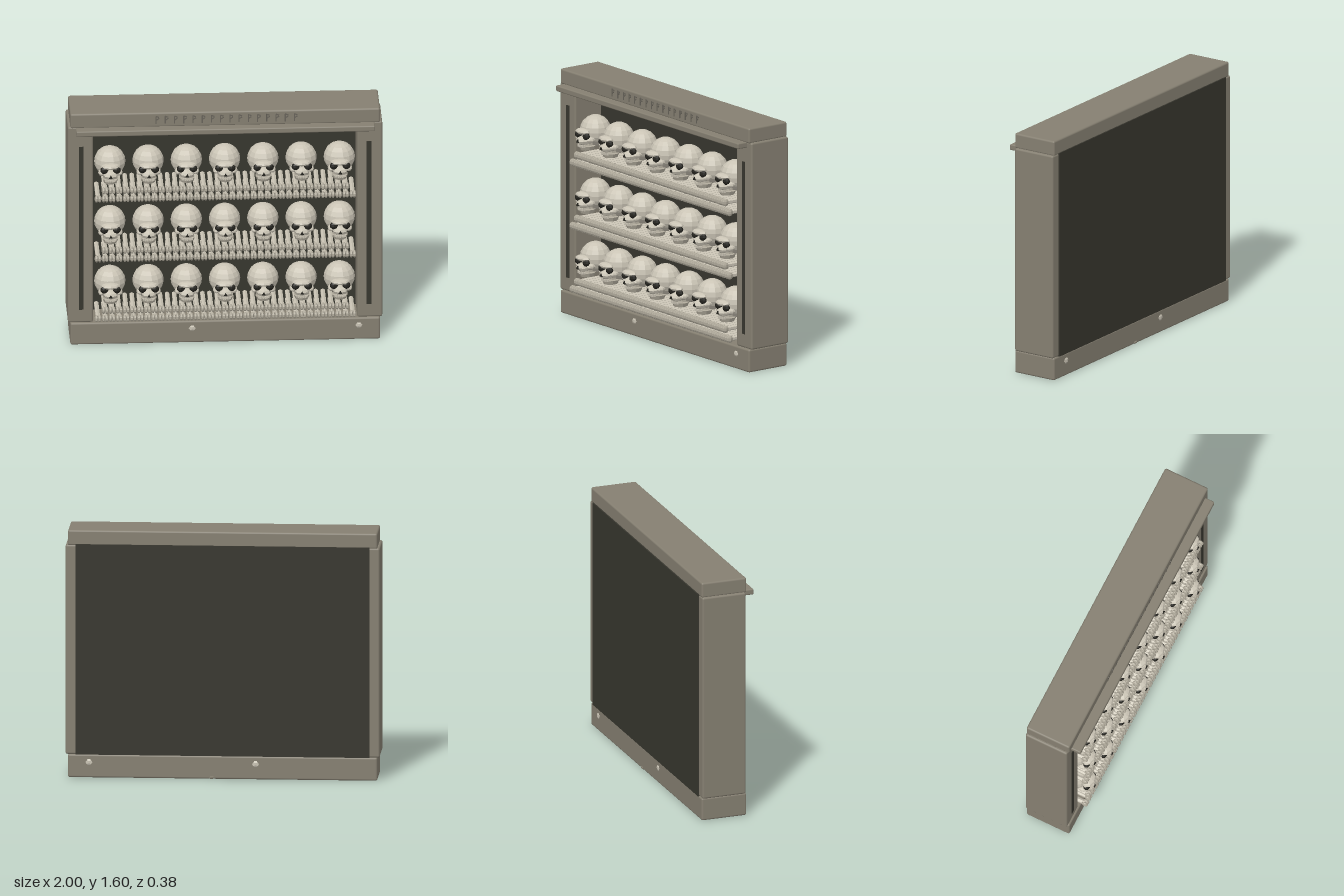
import * as THREE from 'three';
import { mergeGeometries } from 'three/addons/utils/BufferGeometryUtils.js';
import { RoundedBoxGeometry } from 'three/addons/geometries/RoundedBoxGeometry.js';

const material = (name, color) => {
  const m = new THREE.MeshStandardMaterial({ color });
  m.name = name;
  return m;
};

// Faceted copy of a geometry, scaled and moved into place
function faceted(geo, pos = [0, 0, 0], scale = [1, 1, 1]) {
  const g = geo.index ? geo.toNonIndexed() : geo.clone();
  g.scale(...scale);
  g.translate(...pos);
  g.deleteAttribute('uv');
  g.computeVertexNormals();
  return g;
}

function add(parent, name, geo, mat, x = 0, y = 0, z = 0) {
  const mesh = new THREE.Mesh(geo, mat);
  mesh.name = name;
  mesh.position.set(x, y, z);
  parent.add(mesh);
  return mesh;
}

// Rounded block given by its extents
function block(parent, name, mat, x0, x1, y0, y1, z0, z1, r = 0.012) {
  const geo = new RoundedBoxGeometry(x1 - x0, y1 - y0, z1 - z0, 2, r);
  return add(parent, name, geo, mat, (x0 + x1) / 2, (y0 + y1) / 2, (z0 + z1) / 2);
}

export function createModel() {
  const model = new THREE.Group();
  model.name = 'skullShelf';
  const stone = material('stone', 0x857f71);
  const carved = material('carvedStone', 0x67635a);
  const dark = material('darkRecess', 0x37362e);
  const bone = material('bone', 0xcac4b5);
  const oldBone = material('agedBone', 0xb3ad9e);
  const socket = material('socket', 0x24231e);

  // Stone frame
  const frame = new THREE.Group();
  frame.name = 'frame';
  model.add(frame);
  block(frame, 'base', stone, -0.985, 0.985, 0, 0.15, -0.18, 0.125);
  block(frame, 'topBeam', stone, -0.985, 0.985, 1.5, 1.6, -0.18, 0.125);
  block(frame, 'lip', stone, -0.95, 0.95, 1.467, 1.505, 0.09, 0.187, 0.008);
  for (const s of [-1, 1]) {
    block(frame, 'pillar', stone, s * 0.92 - 0.08, s * 0.92 + 0.08, 0.15, 1.505, -0.18, 0.115);
    add(frame, 'pillarGroove', new THREE.BoxGeometry(0.03, 1.13, 0.006), dark, s * 0.915, 0.805, 0.115);
  }
  add(frame, 'backPanel', new THREE.BoxGeometry(1.87, 1.36, 0.098), dark, 0, 0.83, -0.139);

  // Row of abstract carved notches on the beam
  const stem = new THREE.BoxGeometry(0.007, 0.05, 0.006);
  const tick = new THREE.BoxGeometry(0.022, 0.007, 0.006);
  for (let i = 0; i < 16; i++) {
    const x = -0.44 + i * 0.0587;
    add(frame, 'notchStem', stem, carved, x, 1.55, 0.126);
    add(frame, 'notchTick', tick, carved, x + 0.009, 1.572, 0.126).rotation.z = -0.35;
    add(frame, 'notchTick', tick, carved, x + 0.01, 1.555, 0.126).rotation.z = 0.6;
  }

  // Pale chips set in the base
  const chip = faceted(new THREE.DodecahedronGeometry(0.024), [0, 0, 0], [1, 0.85, 0.25]);
  for (const x of [-0.21, 0.85]) {
    add(frame, 'chip', chip, bone, x, 0.1, 0.124);
    add(frame, 'chip', chip, bone, x, 0.1, -0.18);
  }
  add(frame, 'chip', faceted(new THREE.DodecahedronGeometry(0.02), [0, 0, 0], [1, 0.5, 0.5]), stone, 0.07, 0.01, -0.178);

  // Skull pieces, shared by every skull
  const ball = new THREE.SphereGeometry(1, 8, 6);
  const box = new THREE.BoxGeometry(1, 1, 1);
  const skullParts = [
    faceted(new THREE.SphereGeometry(0.1, 14, 10)),
    faceted(ball, [0, -0.055, 0.085], [0.052, 0.032, 0.06]),
    faceted(ball, [0, 0.005, 0.1], [0.06, 0.02, 0.042])
  ];
  for (const s of [-1, 1]) {
    skullParts.push(faceted(ball, [s * 0.055, -0.045, 0.08], [0.023, 0.02, 0.035]));
  }
  const skullGeo = mergeGeometries(skullParts);
  const jawGeo = mergeGeometries([
    faceted(new THREE.CylinderGeometry(0.052, 0.042, 0.026, 10), [0, -0.104, 0.066], [1, 1, 1.1]),
    faceted(new THREE.CylinderGeometry(0.046, 0.048, 0.014, 10), [0, -0.076, 0.073], [1, 1, 1])
  ]);
  const teeth = [];
  for (let i = -3; i <= 3; i++) {
    const a = i * 0.24;
    teeth.push(faceted(box, [Math.sin(a) * 0.048, -0.088, 0.073 + Math.cos(a) * 0.05], [0.009, 0.015, 0.009]));
  }
  const teethGeo = mergeGeometries(teeth);
  const holes = [-1, 1].map(s => faceted(ball, [s * 0.04, -0.02, 0.105], [0.026, 0.024, 0.022]));
  const nose = new THREE.CylinderGeometry(0.013, 0.013, 0.022, 3);
  nose.rotateX(Math.PI / 2);
  nose.rotateZ(Math.PI);
  holes.push(faceted(nose, [0, -0.055, 0.136]));
  const holeGeo = mergeGeometries(holes);

  // Long bone pointing forward, with a pair of knuckles at its end
  const shaft = new THREE.CylinderGeometry(0.016, 0.016, 0.25, 6);
  shaft.rotateX(Math.PI / 2);
  const shaftGeo = faceted(shaft, [0, 0, 0.03]);
  const knob = new THREE.SphereGeometry(1, 6, 5);
  const knobGeo = mergeGeometries([-1, 1].map(s =>
    faceted(knob, [s * 0.01, 0, 0.152], [0.0125, 0.025, 0.024])));

  // Three tiers, each a row of skulls on two layers of bones
  for (let t = 0; t < 3; t++) {
    const tier = new THREE.Group();
    tier.name = 'tier';
    tier.position.y = 0.405 + t * 0.415;
    model.add(tier);
    for (let i = -3; i <= 3; i++) {
      const skull = new THREE.Group();
      skull.name = 'skull';
      skull.position.set(i * 0.2433, 0, 0.037);
      tier.add(skull);
      add(skull, 'cranium', skullGeo, bone);
      add(skull, 'jaw', jawGeo, oldBone);
      add(skull, 'teeth', teethGeo, bone);
      add(skull, 'sockets', holeGeo, socket);
    }
    for (const [half, y] of [[17, -0.157], [18, -0.213]]) {
      const shafts = [], knobs = [];
      for (let i = -half; i <= half; i++) {
        shafts.push(shaftGeo.clone().translate(i * 0.045, 0, 0));
        knobs.push(knobGeo.clone().translate(i * 0.045, 0, 0));
      }
      add(tier, 'boneShafts', mergeGeometries(shafts), bone, 0, y, 0);
      add(tier, 'boneKnuckles', mergeGeometries(knobs), oldBone, 0, y, 0);
    }
  }
  return model;
}
